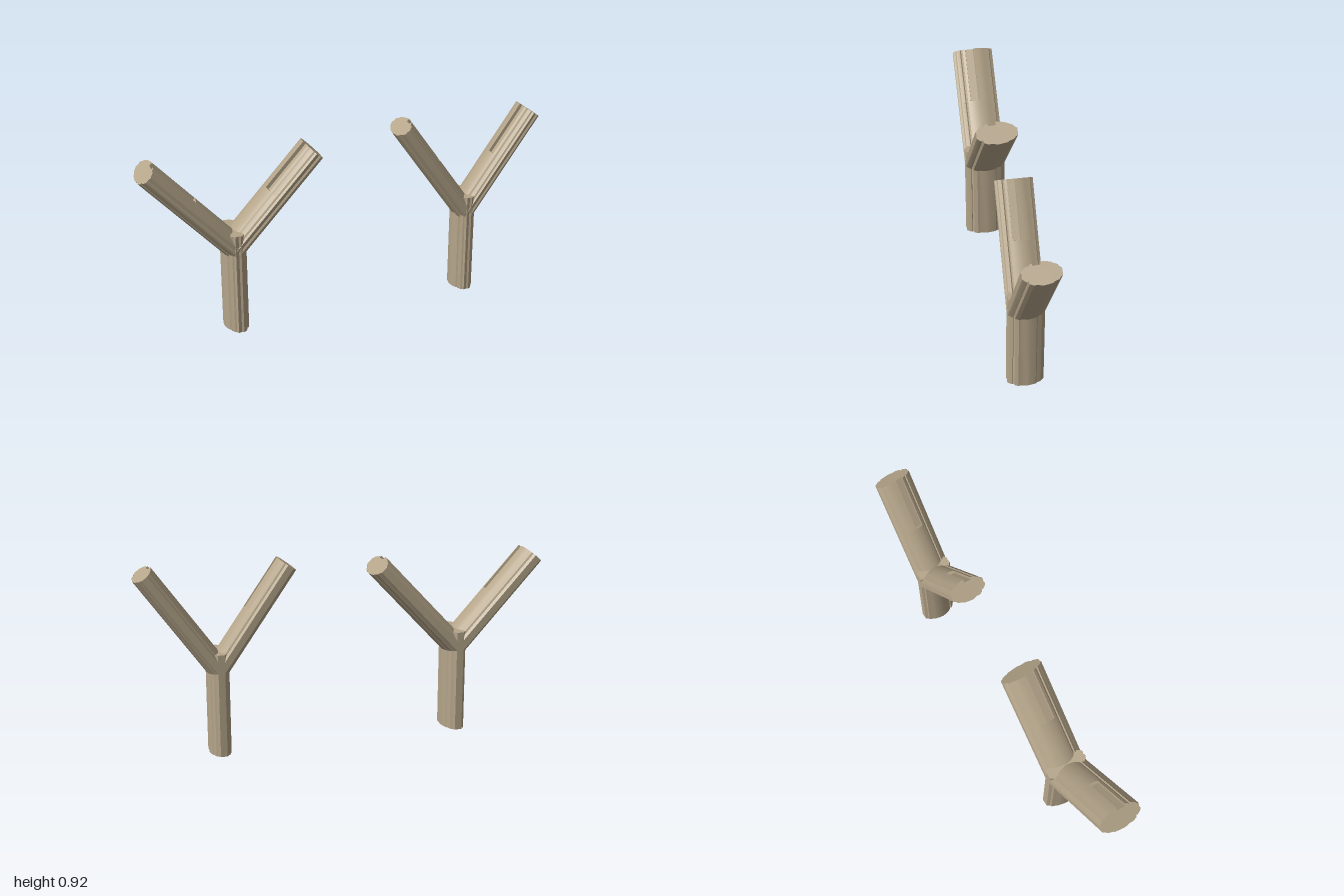
import * as THREE from 'three';
import { toCreasedNormals } from 'three/addons/utils/BufferGeometryUtils.js';

// Fluted branch section as [z, u] fractions; u points to the inside of the fork
const outerSide = [
  [1, -0.22], [0.97, -0.36], [0.86, -0.52], [0.74, -0.64], [0.7, -0.52], [0.64, -0.78],
  [0.45, -0.93], [0.3, -0.9], [0, -1], [-0.25, -0.94], [-0.5, -0.86], [-0.56, -0.76],
  [-0.8, -0.62], [-0.86, -0.48], [-1, -0.3], [-1, 0.3], [-0.86, 0.45], [-0.82, 0.6],
  [-0.6, 0.75], [-0.5, 0.84], [-0.25, 0.95], [0, 1],
];
const crown = [[0.25, 0.95]];
const groove = [[0, 0.7], [0.4, 0.66]];
const frontSide = [
  [0.42, 0.87], [0.55, 0.76], [0.62, 0.6], [0.68, 0.68], [0.86, 0.5], [0.9, 0.36],
  [1, 0.24], [0.99, 0.12], [0.96, -0.04],
];
const plain = [...outerSide, ...crown, ...frontSide];
const grooved = [...outerSide, ...groove, ...frontSide];

// Straight length of branch standing on y = from, with its section in x and z
function branch(section, halfU, halfZ, side, from, to) {
  const shape = new THREE.Shape(
    section.map(([z, u]) => new THREE.Vector2(u * halfU * side, -z * halfZ)));
  const g = new THREE.ExtrudeGeometry(shape, { depth: to - from, bevelEnabled: false });
  g.rotateX(-Math.PI / 2);
  g.translate(0, from, 0);
  return toCreasedNormals(g, 0.4);
}

function forkedPost(name, material, { x, halfU, halfZ, armHalfU, angle, joint }) {
  const post = new THREE.Group();
  post.name = name;
  post.position.x = x;
  const add = (parent, geometry, label) => {
    const mesh = new THREE.Mesh(geometry, material);
    mesh.name = label;
    parent.add(mesh);
  };

  // Upright stem, ending inside the fork
  add(post, branch(plain, halfU, halfZ, -1, 0, 0.5), 'stem');

  // Mirrored arms, each with a groove in the outer half of its inner face
  for (const side of [1, -1]) {
    const arm = new THREE.Group();
    arm.name = side > 0 ? 'rightArm' : 'leftArm';
    arm.position.y = joint;
    arm.rotation.z = side * angle;
    add(arm, branch(plain, armHalfU, halfZ, side, 0, 0.31), 'lowerArm');
    add(arm, branch(grooved, armHalfU, halfZ, side, 0.31, 0.582), 'groovedArm');
    post.add(arm);
  }
  return post;
}

export function createModel() {
  const model = new THREE.Group();
  model.name = 'forkedSupports';
  const wood = new THREE.MeshStandardMaterial({ color: 0xb5a58a });
  wood.name = 'paleWood';

  model.add(
    forkedPost('wideFork', wood,
      { x: -0.565, halfU: 0.057, halfZ: 0.1, armHalfU: 0.056, angle: 0.747, joint: 0.416 }),
    forkedPost('narrowFork', wood,
      { x: 0.614, halfU: 0.053, halfZ: 0.085, armHalfU: 0.052, angle: 0.615, joint: 0.414 }));
  return model;
}
